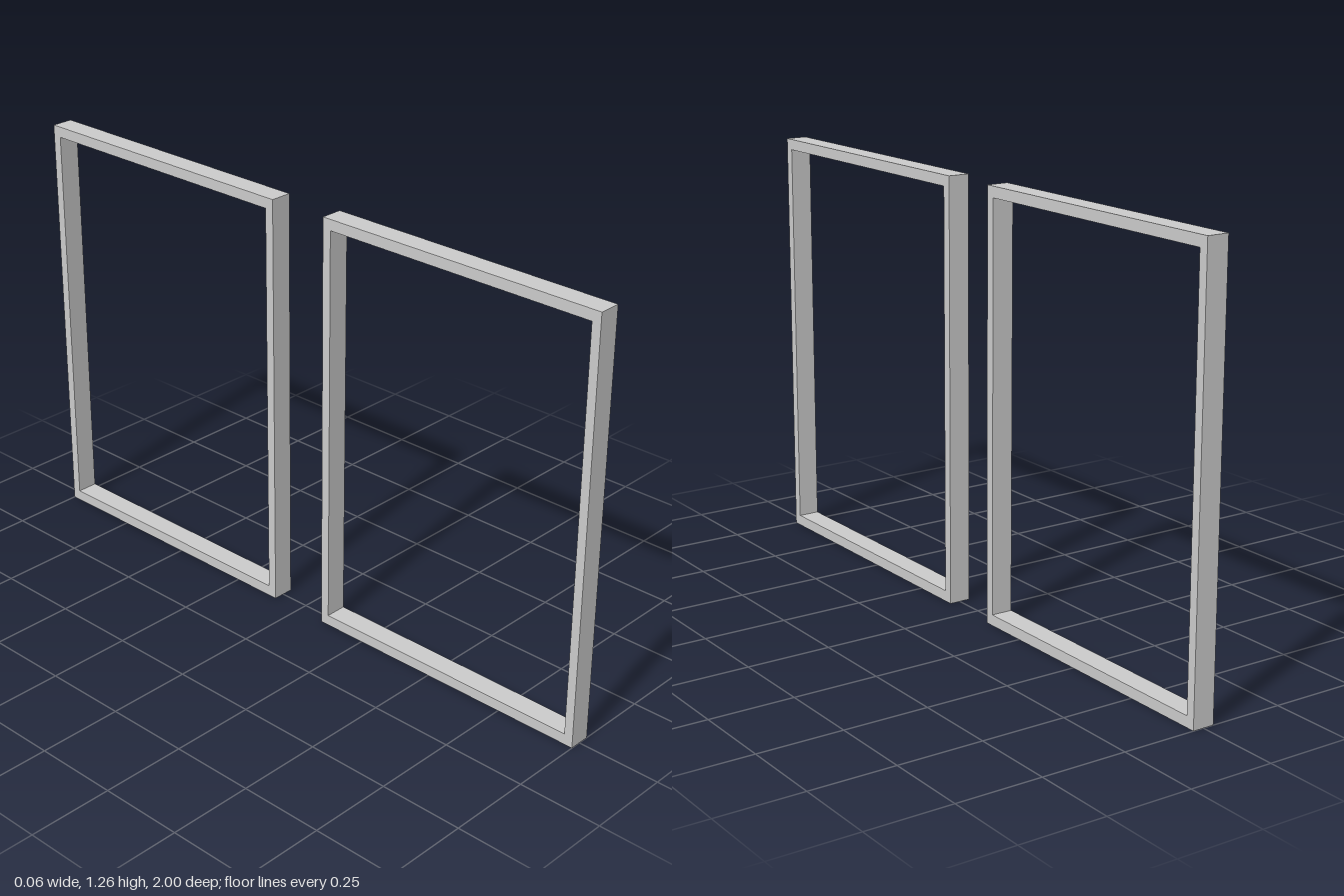
import * as THREE from 'three';

const HEIGHT = 1.256, DEPTH = 0.065;   // frame height and thickness along x
const INNER = 0.093, OUTER = 1;        // z extent of one frame
const STILE = 0.027, RAIL = 0.032;     // widths of the upright and level members

// Adds a closed rectangle to a shape or path
function rectangle(path, x0, y0, x1, y1) {
  path.moveTo(x0, y0);
  path.lineTo(x1, y0);
  path.lineTo(x1, y1);
  path.lineTo(x0, y1);
  path.closePath();
  return path;
}

export function createModel() {
  const model = new THREE.Group();
  model.name = 'framePair';
  const material = new THREE.MeshStandardMaterial({ color: 0xcccccc, flatShading: true });

  // Rectangular frame with an open centre, turned to lie in the z-y plane
  const half = (OUTER - INNER) / 2;
  const outline = rectangle(new THREE.Shape(), -half, 0, half, HEIGHT);
  outline.holes.push(rectangle(new THREE.Path(), -half + STILE, RAIL, half - STILE, HEIGHT - RAIL));
  const geometry = new THREE.ExtrudeGeometry(outline, { depth: DEPTH, bevelEnabled: false });
  geometry.translate(0, 0, -DEPTH / 2);
  geometry.rotateY(-Math.PI / 2);

  // One frame to the front, one to the back
  for (const [name, side] of [['frontFrame', 1], ['backFrame', -1]]) {
    const frame = new THREE.Mesh(geometry, material);
    frame.name = name;
    frame.position.z = side * (INNER + OUTER) / 2;
    model.add(frame);
  }
  return model;
}
